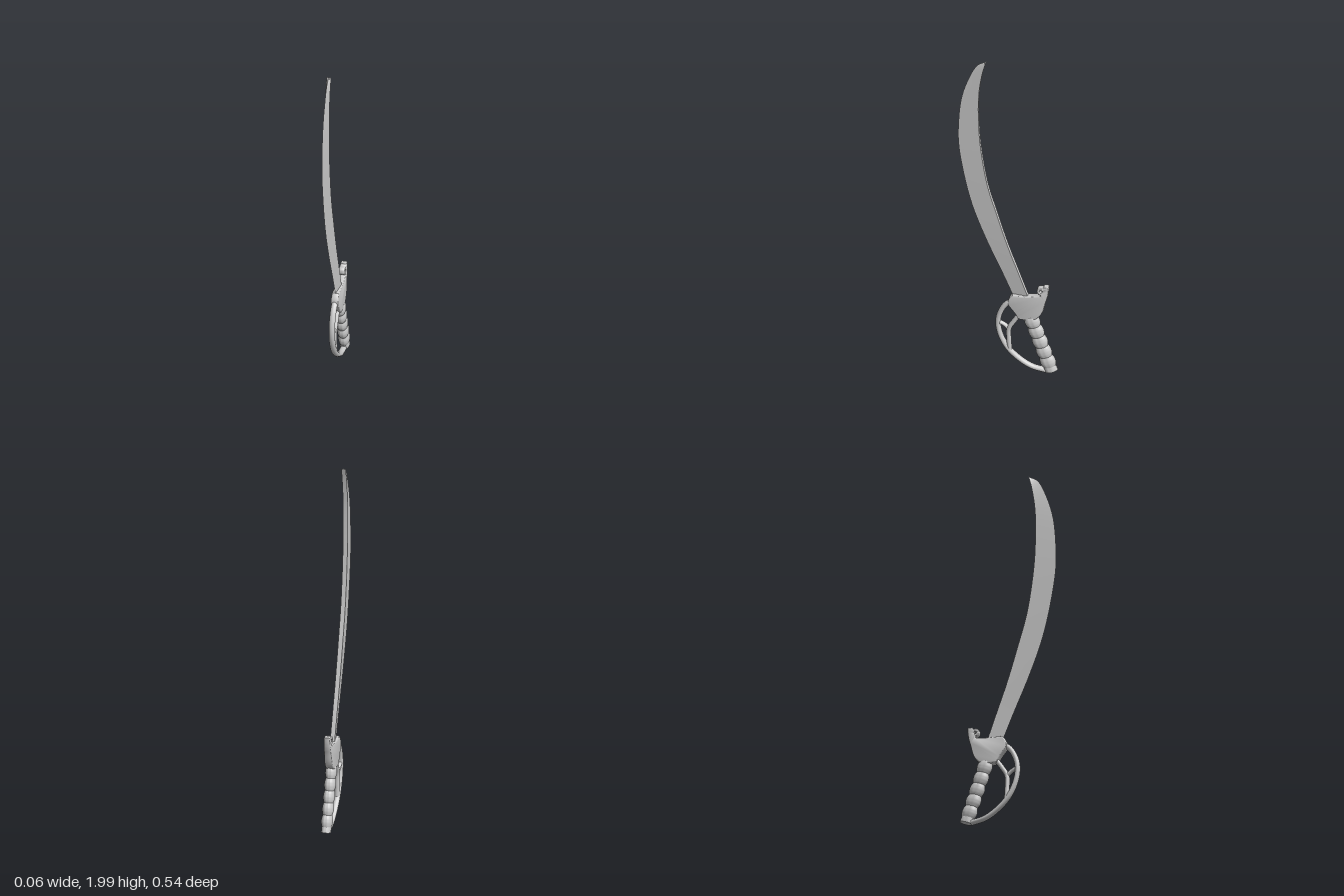
import * as THREE from 'three';
import { toCreasedNormals } from 'three/addons/utils/BufferGeometryUtils.js';

const material = new THREE.MeshStandardMaterial({ color: 0xcccccc });

function part(name, geometry) {
  const mesh = new THREE.Mesh(geometry, material);
  mesh.name = name;
  return mesh;
}

// Points are given as [z, y] in the plane of the sabre
const curve = (pts) => new THREE.CatmullRomCurve3(pts.map(([z, y]) => new THREE.Vector3(0, y, z)));

// Curved blade: triangular sections, flat spine behind and sharp edge in front
function blade() {
  const edge = curve([[-0.03, 0.47], [0.034, 0.627], [0.124, 0.84], [0.198, 1.05], [0.246, 1.262],
    [0.272, 1.447], [0.272, 1.58], [0.257, 1.74], [0.22, 1.87], [0.17, 1.972], [0.127, 2]]);
  const spine = curve([[-0.115, 0.47], [-0.061, 0.627], [0.003, 0.812], [0.066, 1.024], [0.114, 1.2],
    [0.151, 1.447], [0.161, 1.606], [0.161, 1.765], [0.152, 1.86], [0.137, 1.945], [0.122, 2]]);
  const n = 60, half = 0.0125, pos = [], idx = [];
  for (let i = 0; i <= n; i++) {
    const e = edge.getPoint(i / n), s = spine.getPoint(i / n);
    pos.push(half, s.y, s.z, 0, e.y, e.z, -half, s.y, s.z);
    if (i === n) break;
    for (let k = 0; k < 3; k++) {
      const a = i * 3 + k, b = i * 3 + (k + 1) % 3;
      idx.push(a, a + 3, b, b, a + 3, b + 3);
    }
  }
  idx.push(0, 1, 2, n * 3, n * 3 + 2, n * 3 + 1);
  const g = new THREE.BufferGeometry();
  g.setAttribute('position', new THREE.Float32BufferAttribute(pos, 3));
  g.setIndex(idx);
  // Sections run spine, edge, spine: flip so that the faces look outward
  const order = g.index.array;
  for (let i = 0; i < order.length; i += 3) [order[i], order[i + 1]] = [order[i + 1], order[i]];
  return part('blade', toCreasedNormals(fixWinding(g), 0.6));
}

// Turns every face outward if the enclosed volume comes out negative
function fixWinding(g) {
  const p = g.attributes.position, ix = g.index.array;
  const a = new THREE.Vector3(), b = new THREE.Vector3(), c = new THREE.Vector3();
  let volume = 0;
  for (let i = 0; i < ix.length; i += 3) {
    a.fromBufferAttribute(p, ix[i]);
    b.fromBufferAttribute(p, ix[i + 1]);
    c.fromBufferAttribute(p, ix[i + 2]);
    volume += a.dot(b.cross(c));
  }
  if (volume < 0) {
    for (let i = 0; i < ix.length; i += 3) [ix[i], ix[i + 1]] = [ix[i + 1], ix[i]];
  }
  return g;
}

// Guard block with the upright horn and its small pierced eye
function guard() {
  const inset = 0.006;
  const s = new THREE.Shape();
  s.moveTo(-0.026, 0.49);
  s.lineTo(-0.108, 0.493);
  s.lineTo(-0.172, 0.5);
  s.quadraticCurveTo(-0.186, 0.51, -0.178, 0.522);
  s.bezierCurveTo(-0.155, 0.525, -0.155, 0.56, -0.18, 0.557);
  s.quadraticCurveTo(-0.19, 0.553, -0.197, 0.566);
  s.lineTo(-0.214, 0.566);
  s.quadraticCurveTo(-0.214, 0.52, -0.2, 0.48);
  s.bezierCurveTo(-0.186, 0.43, -0.19, 0.4, -0.15, 0.365);
  s.quadraticCurveTo(-0.11, 0.345, -0.06, 0.353);
  s.quadraticCurveTo(-0.045, 0.385, -0.01, 0.425);
  s.quadraticCurveTo(0.005, 0.455, -0.026, 0.49);
  const eye = new THREE.Path();
  eye.absarc(-0.178, 0.54, 0.013, 0, Math.PI * 2, true);
  s.holes.push(eye);
  const g = new THREE.ExtrudeGeometry(s, {
    depth: 0.026, bevelThickness: 0.007, bevelSize: inset, bevelSegments: 4, curveSegments: 10,
  });
  g.translate(0, 0, -0.013);
  g.rotateY(-Math.PI / 2);
  // Thicker toward the grip, slimmer at the horn
  const p = g.attributes.position;
  for (let i = 0; i < p.count; i++) {
    p.setX(i, p.getX(i) * THREE.MathUtils.mapLinear(p.getY(i), 0.35, 0.57, 1.2, 0.85));
  }
  g.deleteAttribute('normal');
  return part('guard', toCreasedNormals(g, 0.7));
}

// Round bars of the hand guard, a little wider across than in the plane
function bar(name, pts, radius, segments) {
  const mesh = part(name, new THREE.TubeGeometry(curve(pts), segments, radius, 14));
  mesh.scale.x = 1.15;
  return mesh;
}

// Ribbed oval grip, turned about its own axis and leaned back
function grip() {
  const pts = [new THREE.Vector2(0, 0), new THREE.Vector2(0.036, 0), new THREE.Vector2(0.035, 0.028)];
  const ribs = 5, pitch = 0.066, steps = 10;
  for (let i = 0; i <= ribs * steps; i++) {
    const swell = Math.pow(Math.abs(Math.sin(Math.PI * i / steps)), 0.8);
    pts.push(new THREE.Vector2(0.034 + 0.009 * swell, 0.03 + pitch * i / steps));
  }
  pts.push(new THREE.Vector2(0, 0.375));
  const mesh = part('grip', toCreasedNormals(new THREE.LatheGeometry(pts, 32), 0.7));
  mesh.scale.x = 0.72;
  mesh.rotation.x = 0.325;
  mesh.position.set(0, 0.021, -0.233);
  return mesh;
}

export function createModel() {
  const sabre = new THREE.Group();
  sabre.name = 'sabre';
  sabre.add(
    blade(),
    guard(),
    grip(),
    bar('knuckleBow', [[-0.04, 0.465], [0.016, 0.42], [0.048, 0.357], [0.057, 0.294], [0.044, 0.22],
      [0.008, 0.145], [-0.05, 0.083], [-0.124, 0.036], [-0.205, 0.019]], 0.0145, 60),
    bar('innerBranch', [[-0.075, 0.385], [-0.028, 0.315], [-0.003, 0.267], [-0.002, 0.19], [-0.006, 0.13]], 0.013, 30),
    bar('crossStrut', [[0.057, 0.305], [0.025, 0.29], [-0.003, 0.265]], 0.011, 12),
  );
  return sabre;
}
